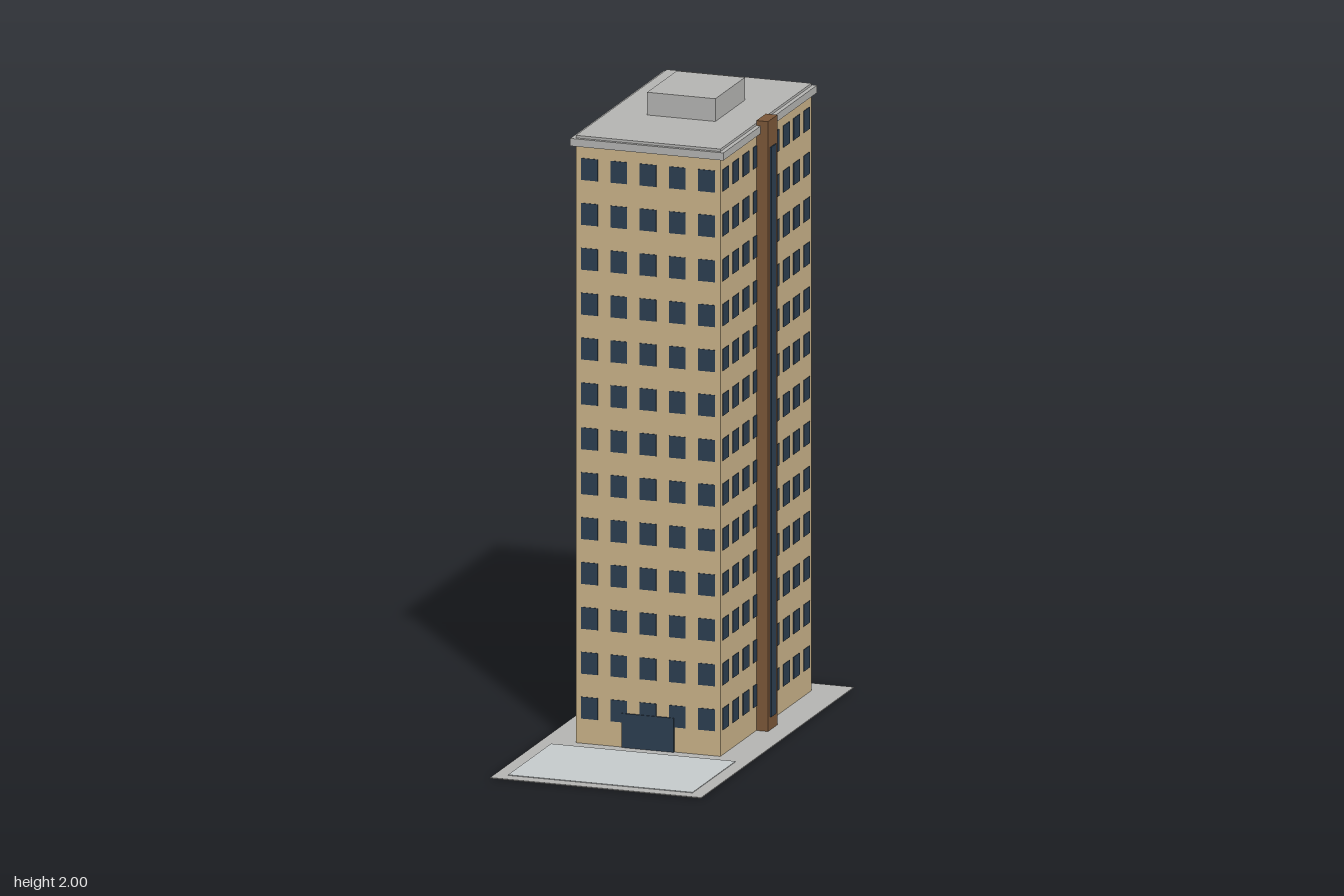
import * as THREE from 'three';
import { mergeGeometries } from 'three/addons/utils/BufferGeometryUtils.js';

const material = (name, color) => new THREE.MeshStandardMaterial({ name, color });

export function createModel() {
  const model = new THREE.Group();
  model.name = 'apartmentTower';

  const wall = material('tanWall', 0xc8b188);
  const glass = material('darkGlass', 0x2c3e50);
  const brown = material('brownCladding', 0x7a5638);
  const concrete = material('greyConcrete', 0xb3b3b1);
  const paving = material('palePaving', 0xc4c9ca);

  // Box given by its extents along each axis
  function box(name, mat, [x0, x1], [y0, y1], [z0, z1]) {
    const mesh = new THREE.Mesh(new THREE.BoxGeometry(x1 - x0, y1 - y0, z1 - z0), mat);
    mesh.position.set((x0 + x1) / 2, (y0 + y1) / 2, (z0 + z1) / 2);
    mesh.name = name;
    model.add(mesh);
  }

  const halfW = 0.235, halfD = 0.408, midZ = -0.194;
  const around = (half) => [midZ - half, midZ + half];

  // Site
  box('groundSlab', concrete, [-0.343, 0.343], [0.001, 0.004], [-0.685, 0.685]);
  box('forecourt', paving, [-0.3, 0.3], [0, 0.006], [0.257, 0.643]);

  // Tower and roof
  box('towerBody', wall, [-halfW, halfW], [0.004, 1.9], around(halfD));
  box('cornice', concrete, [-0.249, 0.249], [1.896, 1.92], around(0.42));
  box('roofCap', concrete, [-halfW, halfW], [1.92, 1.928], around(halfD));
  box('roofPlantRoom', concrete, [-0.111, 0.111], [1.928, 2], [-0.348, -0.083]);

  // Stair shaft with its tall glass strip on the left side
  box('stairShaft', brown, [halfW, 0.273], [0.004, 1.936], [-0.193, -0.108]);
  box('stairGlass', glass, [0.272, 0.277], [0.045, 1.85], [-0.175, -0.127]);

  // Entrance
  box('entrance', glass, [-0.085, 0.085], [0.004, 0.112], [0.21, 0.219]);

  // Window grid on each facade: 13 floors, plates set just proud of the wall
  function windows(name, columns, pitch, distance, angle) {
    const plates = [];
    for (let floor = 0; floor < 13; floor++) {
      for (let c = 0; c < columns; c++) {
        const plate = new THREE.BoxGeometry(0.054, 0.069, 0.004);
        plate.translate((c - (columns - 1) / 2) * pitch, 0.117 + floor * 0.1422, distance);
        plates.push(plate);
      }
    }
    const mesh = new THREE.Mesh(mergeGeometries(plates), glass);
    mesh.rotation.y = angle;
    mesh.position.z = midZ;
    mesh.name = name;
    model.add(mesh);
  }
  windows('frontWindows', 5, 0.0952, halfD, 0);
  windows('backWindows', 5, 0.0952, halfD, Math.PI);
  windows('leftWindows', 9, 0.0906, halfW, Math.PI / 2);
  windows('rightWindows', 9, 0.0906, halfW, -Math.PI / 2);

  return model;
}
